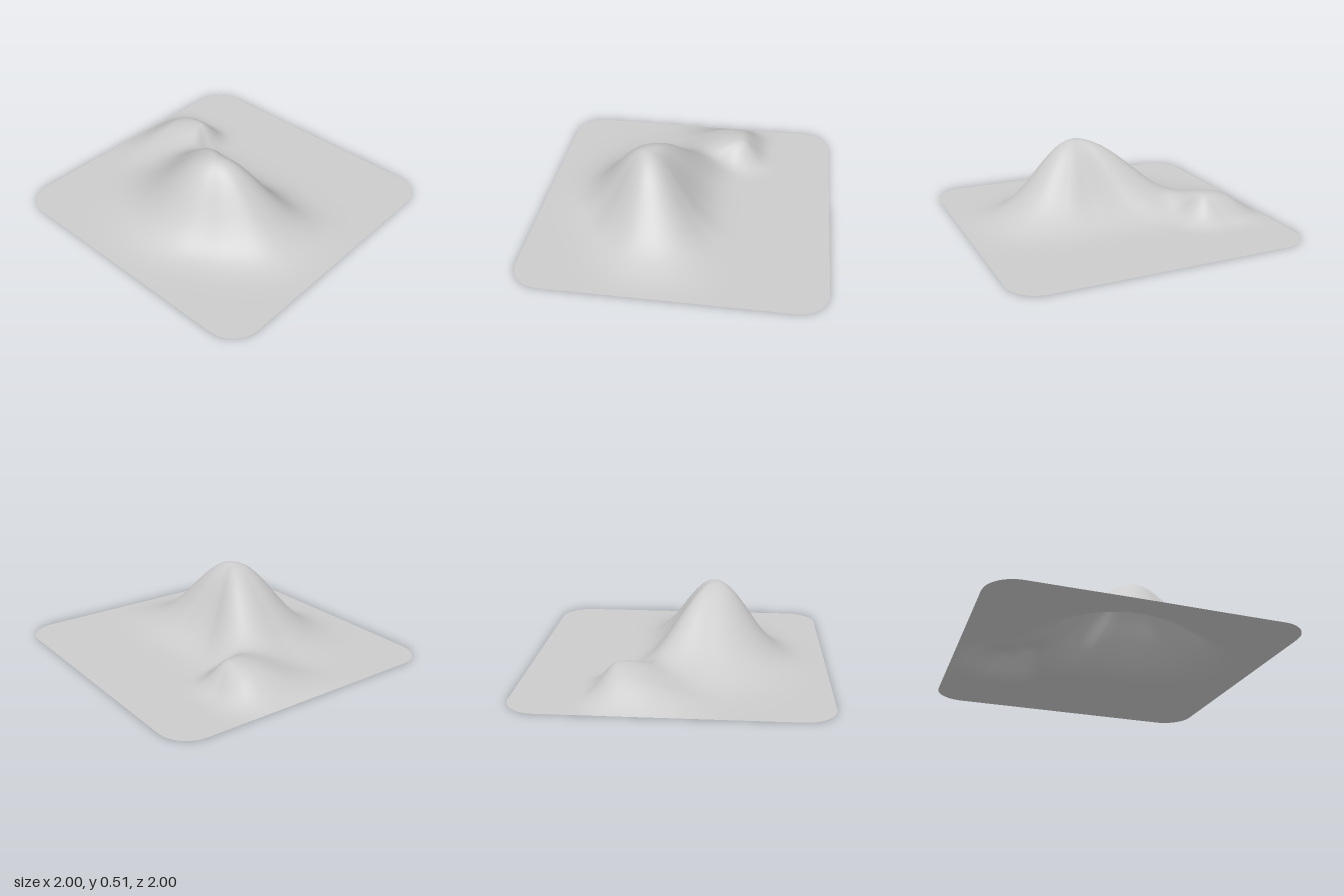
import * as THREE from 'three';

// Hills: each has a peak and a spread for every 30 degrees, starting at +x and turning towards +z
const mountain = {
  x: -0.24, z: 0.15, height: 0.51,
  spread: [0.31, 0.35, 0.42, 0.4, 0.32, 0.28, 0.31, 0.37, 0.43, 0.49, 0.56, 0.36],
};
const foothill = {
  x: 0.33, z: -0.58, height: 0.178,
  spread: [0.14, 0.14, 0.14, 0.15, 0.18, 0.29, 0.36, 0.4, 0.42, 0.37, 0.24, 0.16],
};

// Closed smooth interpolation of the spread around the peak
function spreadAt(list, angle) {
  const n = list.length;
  const t = ((angle / (2 * Math.PI)) * n + n) % n;
  const i = Math.floor(t), f = t - i;
  const [a, b, c, d] = [-1, 0, 1, 2].map((k) => list[(i + k + n) % n]);
  return b + 0.5 * f * (c - a + f * (2 * a - 5 * b + 4 * c - d + f * (3 * (b - c) + d - a)));
}

function hillHeight(hill, x, z) {
  const dx = x - hill.x, dz = z - hill.z;
  const r = Math.hypot(dx, dz) / spreadAt(hill.spread, Math.atan2(dz, dx));
  return hill.height * Math.exp(-Math.pow(r, 2.1));
}

// Both hills blended, settling to the ground at the border
function groundHeight(x, z) {
  const h = Math.hypot(hillHeight(mountain, x, z), hillHeight(foothill, x, z));
  const t = Math.min(1, (1 - Math.abs(z)) / 0.25);
  return h * (1 - (1 - t) ** 2);
}

export function createModel() {
  const group = new THREE.Group();
  group.name = 'terrain';
  const stone = new THREE.MeshStandardMaterial({ color: 0xcccccc, side: THREE.DoubleSide });
  stone.name = 'plain grey';

  // Flat sheet with rounded corners, raised into hills
  const corner = 0.2;
  const geometry = new THREE.PlaneGeometry(2, 2, 140, 160).rotateX(-Math.PI / 2);
  const p = geometry.attributes.position;
  for (let i = 0; i < p.count; i++) {
    // Rows gather towards the front and back edges, where the corners curve
    const z = Math.sin((p.getZ(i) * Math.PI) / 2) * 0.6 + p.getZ(i) * 0.4;
    const over = Math.min(corner, Math.max(0, Math.abs(z) - (1 - corner)));
    const halfWidth = 1 - corner + Math.sqrt(corner ** 2 - over ** 2);
    const x = p.getX(i) * halfWidth;
    p.setXYZ(i, x, groundHeight(x, z), z);
  }
  geometry.computeVertexNormals();

  const ground = new THREE.Mesh(geometry, stone);
  ground.name = 'hillyGround';
  group.add(ground);
  return group;
}
